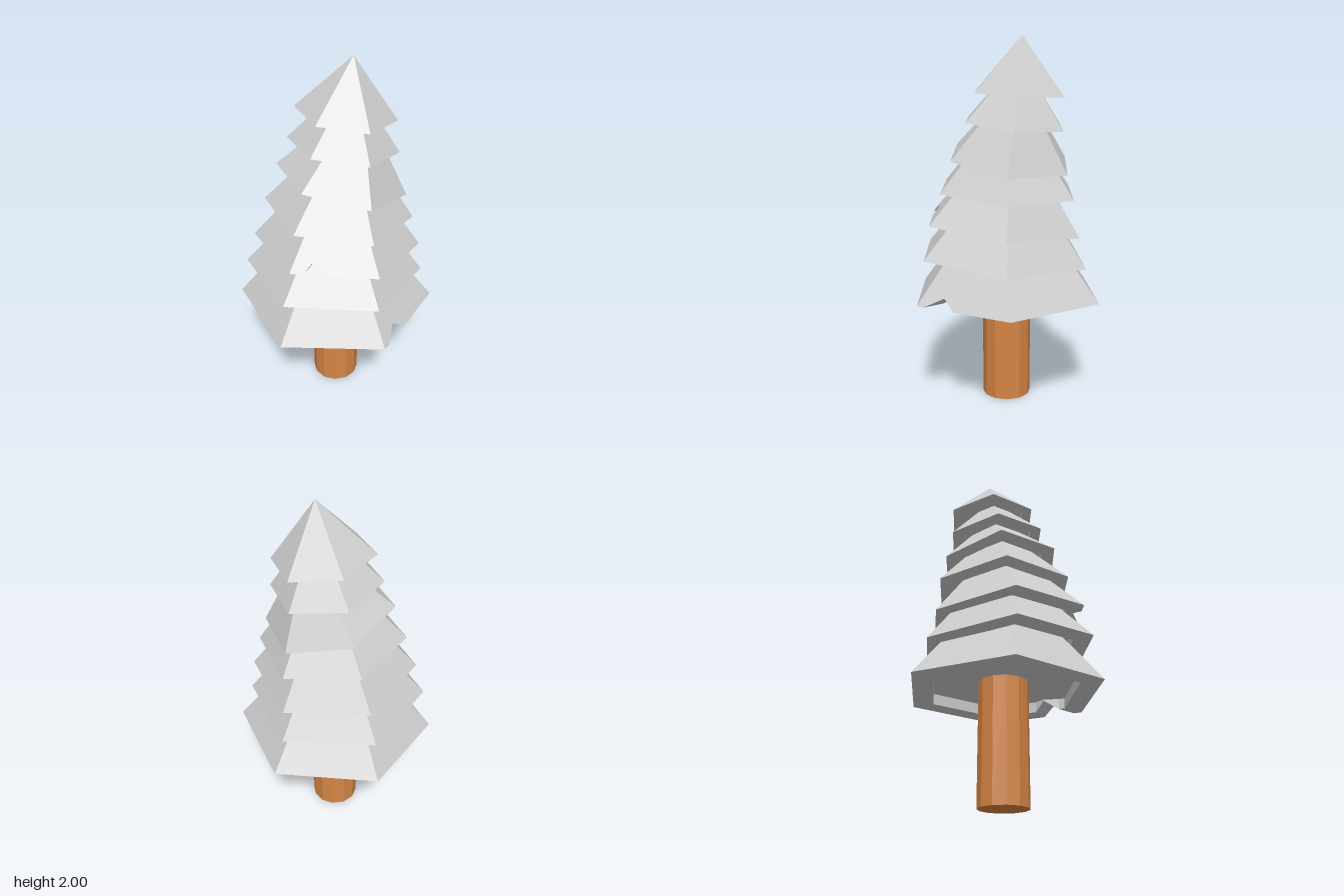
import * as THREE from 'three';

const SIDES = 6;
const RIM = 0.77;    // inner edge of the underside rim, relative to the outer edge
const RECESS = 0.06; // depth of the hollow under each tier

// Hexagonal cone with a recessed underside.
// A notch is { side, points: [[position along the side, rise], ...] }.
function tierGeometry(radius, height, notch) {
  const corner = (k) => {
    const a = (k * Math.PI * 2) / SIDES;
    return new THREE.Vector3(Math.sin(a) * radius, 0, Math.cos(a) * radius);
  };
  const outer = [];
  for (let k = 0; k < SIDES; k++) {
    outer.push(corner(k));
    if (notch && notch.side === k) {
      for (const [t, rise] of notch.points) {
        const p = corner(k).lerp(corner(k + 1), t).multiplyScalar(1 - rise / height);
        outer.push(p.setY(rise));
      }
    }
  }
  const inner = outer.map((p) => new THREE.Vector3(p.x * RIM, p.y, p.z * RIM));
  const roof = inner.map((p) => p.clone().setY(RECESS));
  const apex = new THREE.Vector3(0, height, 0);
  const centre = new THREE.Vector3(0, RECESS, 0);

  const points = [];
  outer.forEach((p, i) => {
    const j = (i + 1) % outer.length;
    points.push(p, outer[j], apex);                               // slope
    points.push(p, inner[i], inner[j], p, inner[j], outer[j]);    // rim
    points.push(inner[i], roof[i], roof[j], inner[i], roof[j], inner[j]); // recess wall
    points.push(roof[i], centre, roof[j]);                        // recess ceiling
  });
  const geometry = new THREE.BufferGeometry().setFromPoints(points);
  geometry.computeVertexNormals();
  return geometry;
}

export function createModel() {
  const tree = new THREE.Group();
  tree.name = 'tree';

  const bark = new THREE.MeshStandardMaterial({ color: 0xd58545, flatShading: true });
  const foliage = new THREE.MeshStandardMaterial({ color: 0xcccccc, flatShading: true });

  // Trunk, reaching into the hollow of the lowest tier
  const trunk = new THREE.Mesh(new THREE.CylinderGeometry(0.135, 0.135, 0.68, 12), bark);
  trunk.name = 'trunk';
  trunk.position.y = 0.34;
  tree.add(trunk);

  // Foliage tiers: base centre, radius, height, rise of the base along x and z, twist
  const tiers = [
    { at: [0, 0.6, 0], r: 0.557, h: 0.7, rise: [0, 0], twist: 0,
      notch: { side: 1, points: [[0.08, 0], [0.25, 0.053], [0.41, 0]] } },
    { at: [0, 0.815, 0.018], r: 0.497, h: 0.61, rise: [0, 0.07], twist: 0 },
    { at: [0.015, 0.995, 0.012], r: 0.458, h: 0.57, rise: [0, 0.1], twist: 0,
      notch: { side: 0, points: [[0.15, 0], [0.22, 0.048], [0.31, 0.042], [0.42, 0]] } },
    { at: [0.012, 1.185, -0.011], r: 0.405, h: 0.5, rise: [-0.066, 0.09], twist: -0.044 },
    { at: [0.017, 1.353, -0.03], r: 0.355, h: 0.45, rise: [-0.14, 0.2], twist: -0.065 },
    { at: [0.013, 1.543, -0.055], r: 0.295, h: 0.35, rise: [-0.06, 0.13], twist: -0.044 },
    { at: [0.01, 1.705, -0.083], r: 0.267, h: 0.297, rise: [-0.08, 0.095], twist: -0.049 },
  ];
  const up = new THREE.Vector3(0, 1, 0);
  tiers.forEach(({ at, r, h, rise, twist, notch }, i) => {
    const tier = new THREE.Mesh(tierGeometry(r, h, notch), foliage);
    tier.name = `foliageTier${i + 1}`;
    tier.position.set(...at);
    const axis = new THREE.Vector3(-rise[0], 1, -rise[1]).normalize();
    tier.quaternion.setFromUnitVectors(up, axis);
    tier.rotateY(twist);
    tree.add(tier);
  });

  return tree;
}
